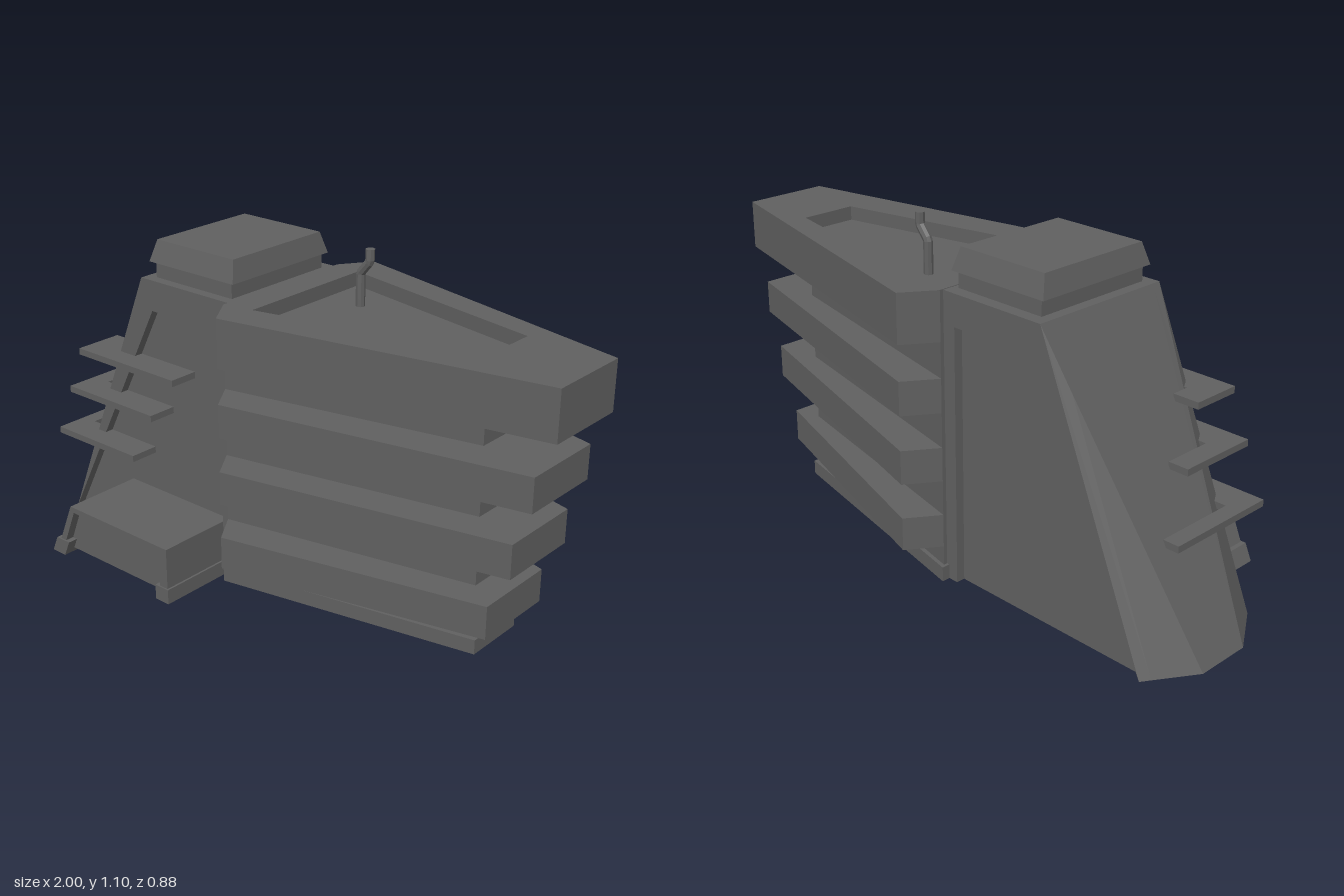
import * as THREE from 'three';
import { ConvexGeometry } from 'three/addons/geometries/ConvexGeometry.js';

const material = new THREE.MeshStandardMaterial({ color: 0x606060, flatShading: true });
const openMaterial = new THREE.MeshStandardMaterial({ color: 0x606060, flatShading: true, side: THREE.DoubleSide });
const MID_Z = -0.0725; // symmetry plane of the building

function add(parent, name, geometry, mat = material) {
  const mesh = new THREE.Mesh(geometry, mat);
  mesh.name = name;
  parent.add(mesh);
  return mesh;
}

// Vertical prism from a plan outline of [x, z] points, with an optional hole
function slab(points, y0, y1, hole) {
  const flip = (list) => list.map(([x, z]) => new THREE.Vector2(x, -z));
  const shape = new THREE.Shape(flip(points));
  if (hole) shape.holes.push(new THREE.Path(flip(hole)));
  const g = new THREE.ExtrudeGeometry(shape, { depth: y1 - y0, bevelEnabled: false });
  return g.rotateX(-Math.PI / 2).translate(0, y0, 0);
}

// Prism from a front elevation of [x, y] points
function elevation(points, z0, z1) {
  const shape = new THREE.Shape(points.map(([x, y]) => new THREE.Vector2(x, y)));
  return new THREE.ExtrudeGeometry(shape, { depth: z1 - z0, bevelEnabled: false }).translate(0, 0, z0);
}

function box(x0, x1, y0, y1, z0, z1) {
  return new THREE.BoxGeometry(x1 - x0, y1 - y0, z1 - z0)
    .translate((x0 + x1) / 2, (y0 + y1) / 2, (z0 + z1) / 2);
}

// Convex solid from [x, y, z] corners; back = true mirrors it to the rear side
function hull(points, back = false) {
  return new ConvexGeometry(points.map(([x, y, z]) =>
    new THREE.Vector3(x, y, back ? 2 * MID_Z - z : z)));
}

// Removes the triangles lying flat at the bottom, leaving an open shell
function withoutBottom(geometry, y) {
  const p = geometry.attributes.position;
  const kept = [];
  for (let i = 0; i < p.count; i += 3) {
    if (Math.max(p.getY(i), p.getY(i + 1), p.getY(i + 2)) > y + 0.001) kept.push(i, i + 1, i + 2);
  }
  geometry.setIndex(kept);
  return geometry;
}

function buildTower() {
  const tower = new THREE.Group();
  tower.name = 'tower';
  const b = 0.006, t = 0.955, p = 0.852, zi = 0.147, zo = 0.177;

  // Leaning hollow body with chamfered lower corners, open underneath
  const half = [[-1, b, 0.02], [-0.919, b, zi], [-0.601, 0.77, zi], [-0.505, t, zi], [-0.12, t, zi], [-0.12, b, zi]];
  const body = hull([...half, ...half.map(([x, y, z]) => [x, y, 2 * MID_Z - z])]);
  add(tower, 'towerBody', withoutBottom(body, b), openMaterial);

  // Raised frame around the sunken wall panel, front and back
  for (const back of [false, true]) {
    const side = back ? 'back' : 'front';
    add(tower, side + 'SlopedRail', hull([
      [-0.919, b, zi], [-0.601, 0.77, zi], [-0.505, t, zi], [-0.46, p, zi], [-0.9, b, zi],
      [-0.9, b, zo], [-0.505, t, zo], [-0.46, p, zo]], back));
    add(tower, side + 'TopRail', hull([zi, zo].flatMap((z) =>
      [[-0.505, t, z], [-0.12, t, z], [-0.12, p, z], [-0.46, p, z]]), back));
    add(tower, side + 'Post', hull([zi, zo].flatMap((z) =>
      [[-0.165, b, z], [-0.12, b, z], [-0.12, p, z], [-0.165, p, z]]), back));
  }

  // Roof cap: neck and tapered lid
  add(tower, 'capNeck', box(-0.47, -0.14, t, 1.007, -0.28, 0.142));
  const ring = (x0, x1, y, z0, z1) => [[x0, y, z0], [x1, y, z0], [x1, y, z1], [x0, y, z1]];
  add(tower, 'capLid', hull([
    ...ring(-0.487, -0.123, 1.007, -0.292, 0.155),
    ...ring(-0.47, -0.14, 1.078, -0.27, 0.133)]));
  return tower;
}

function buildWing() {
  const wing = new THREE.Group();
  wing.name = 'wing';
  const tapered = (x0, x1, zf0, zf1, zb0, zb1) => [[x0, zf0], [x1, zf1], [x1, zb1], [x0, zb0]];
  add(wing, 'basePlate', slab(tapered(-0.13, 0.738, 0.215, 0.04, -0.35, -0.175), 0.006, 0.055));
  add(wing, 'wingCore', slab(tapered(-0.12, 0.72, 0.2, 0.025, -0.335, -0.16), 0.055, 0.797));

  // Overhanging floors, each reaching further out than the one below
  const floor = (x1) => [[-0.12, 0.2], [-0.05, 0.305], [x1, 0.105], [x1, -0.185], [-0.05, -0.44], [-0.12, -0.335]];
  [[0.12, 0.23, 0.815], [0.345, 0.457, 0.885], [0.571, 0.682, 0.94], [0.797, 0.91, 1]].forEach(([y0, y1, x1], i) =>
    add(wing, 'floor' + (i + 1), slab(floor(x1), y0, y1)));

  // Parapet round the sunken roof deck
  add(wing, 'roofParapet', slab(floor(1), 0.91, 0.957,
    tapered(-0.02, 0.72, 0.18, 0.022, -0.32, -0.17)));

  // Bent roof pipe
  const path = new THREE.CurvePath();
  const pts = [[0.112, 0.9], [0.112, 1.018], [0.147, 1.06], [0.147, 1.1]]
    .map(([x, y]) => new THREE.Vector3(x, y, -0.17));
  for (let i = 0; i < 3; i++) path.add(new THREE.LineCurve3(pts[i], pts[i + 1]));
  add(wing, 'roofPipe', new THREE.TubeGeometry(path, 24, 0.015, 8));
  add(wing, 'roofPipeEnd', new THREE.CircleGeometry(0.015, 8).rotateX(-Math.PI / 2).translate(0.147, 1.1, -0.17));
  return wing;
}

function buildLedges() {
  const ledges = new THREE.Group();
  ledges.name = 'cornerLedges';
  // Thin L-shaped ledges wrapping the leaning corner: y, x range, inner x, rear z of side leg
  [[0.653, -0.745, -0.305, -0.655, 0.08],
    [0.502, -0.805, -0.41, -0.735, -0.03],
    [0.33, -0.875, -0.505, -0.82, -0.145]].forEach(([y, x0, x1, xi, z0], i) =>
    add(ledges, 'ledge' + (i + 1), slab(
      [[x0, 0.25], [x1, 0.25], [x1, 0.14], [xi, 0.14], [xi, z0], [x0, z0]], y, y + 0.022)));
  return ledges;
}

function buildPorch() {
  const porch = new THREE.Group();
  porch.name = 'porch';
  add(porch, 'porchFrame', elevation([
    [-0.7, 0.01], [-0.62, 0.197], [-0.165, 0.197], [-0.165, 0.01],
    [-0.2, 0.01], [-0.2, 0.178], [-0.605, 0.178], [-0.675, 0.01]], 0.15, 0.435));
  add(porch, 'porchPanel', elevation([
    [-0.67, 0.02], [-0.605, 0.178], [-0.2, 0.178], [-0.2, 0.02]], 0.385, 0.405));
  // Sloped foot at the outer corner, long foot along the straight side
  add(porch, 'slopedFoot', elevation([
    [-0.72, 0.002], [-0.695, 0.058], [-0.635, 0.058], [-0.66, 0.002]], 0.345, 0.44));
  add(porch, 'straightFoot', box(-0.215, -0.158, 0.006, 0.057, 0.175, 0.44));
  return porch;
}

export function createModel() {
  const model = new THREE.Group();
  model.name = 'building';
  model.add(buildTower(), buildWing(), buildLedges(), buildPorch());
  return model;
}
